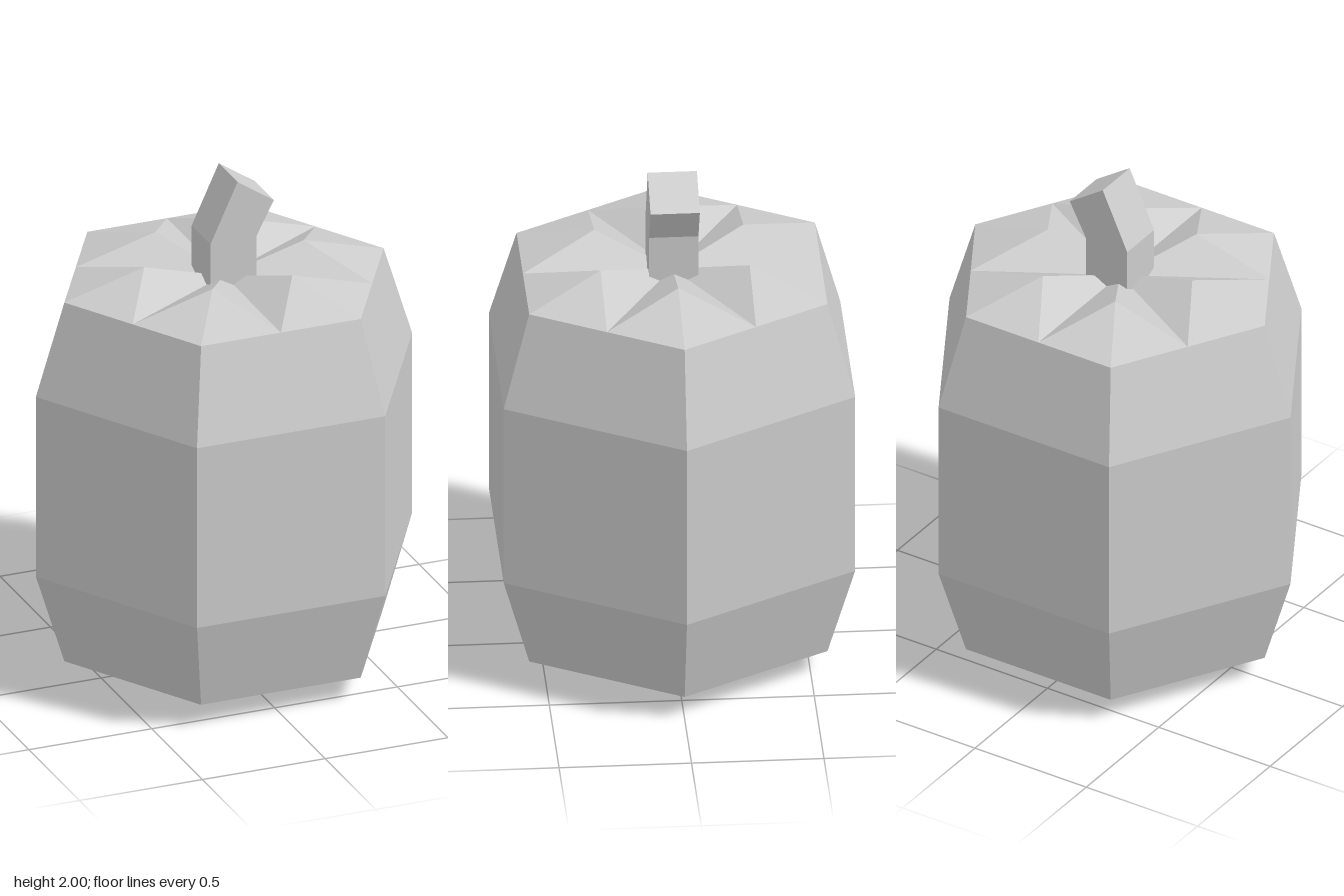
import * as THREE from 'three';

const material = new THREE.MeshStandardMaterial({ color: 0xcccccc, flatShading: true });
const SIDES = 6, RIM = 0.65;

function part(name, geometry) {
  const mesh = new THREE.Mesh(geometry, material);
  mesh.name = name;
  return mesh;
}

// Star-shaped cap: six pyramidal lobes parted by flat valleys that meet at the centre
function capGeometry(rimY, peakY) {
  const up = peakY > rimY, positions = [];
  const point = (angle, radius, y) => [radius * Math.cos(angle), y, radius * Math.sin(angle)];
  const triangle = (a, b, c) => positions.push(...a, ...(up ? b : c), ...(up ? c : b));
  const half = Math.PI / SIDES, centre = [0, rimY, 0];
  for (let i = 0; i < SIDES; i++) {
    const angle = i * 2 * half;
    const peak = point(angle, RIM / 2, peakY);
    const corner = point(angle, RIM, rimY);
    const before = point(angle - half, RIM * Math.cos(half), rimY);
    const after = point(angle + half, RIM * Math.cos(half), rimY);
    triangle(peak, corner, before);
    triangle(peak, after, corner);
    triangle(peak, before, centre);
    triangle(peak, centre, after);
  }
  const geometry = new THREE.BufferGeometry();
  geometry.setAttribute('position', new THREE.Float32BufferAttribute(positions, 3));
  geometry.computeVertexNormals();
  return geometry;
}

export function createModel() {
  const group = new THREE.Group();
  group.name = 'pumpkin';

  // Six-sided barrel wall with a corner on the x axis
  const profile = [[RIM, 0.095], [0.766, 0.465], [0.766, 1.208], [RIM, 1.578]]
    .map(([r, y]) => new THREE.Vector2(r, y));
  group.add(part('body', new THREE.LatheGeometry(profile, SIDES, Math.PI / 2)));

  group.add(part('topLobes', capGeometry(1.578, 1.668)));
  group.add(part('bottomLobes', capGeometry(0.095, 0.005)));

  // Square stem running through the body and bending to its left at the top
  const outline = [[-0.093, 0], [0.093, 0], [0.093, 1.762], [0.165, 1.9], [0.017, 2], [-0.093, 1.762]]
    .map(([x, y]) => new THREE.Vector2(x, y));
  const stem = new THREE.ExtrudeGeometry(new THREE.Shape(outline), { depth: 0.186, bevelEnabled: false });
  stem.translate(0, 0, -0.093);
  group.add(part('stem', stem));

  return group;
}
